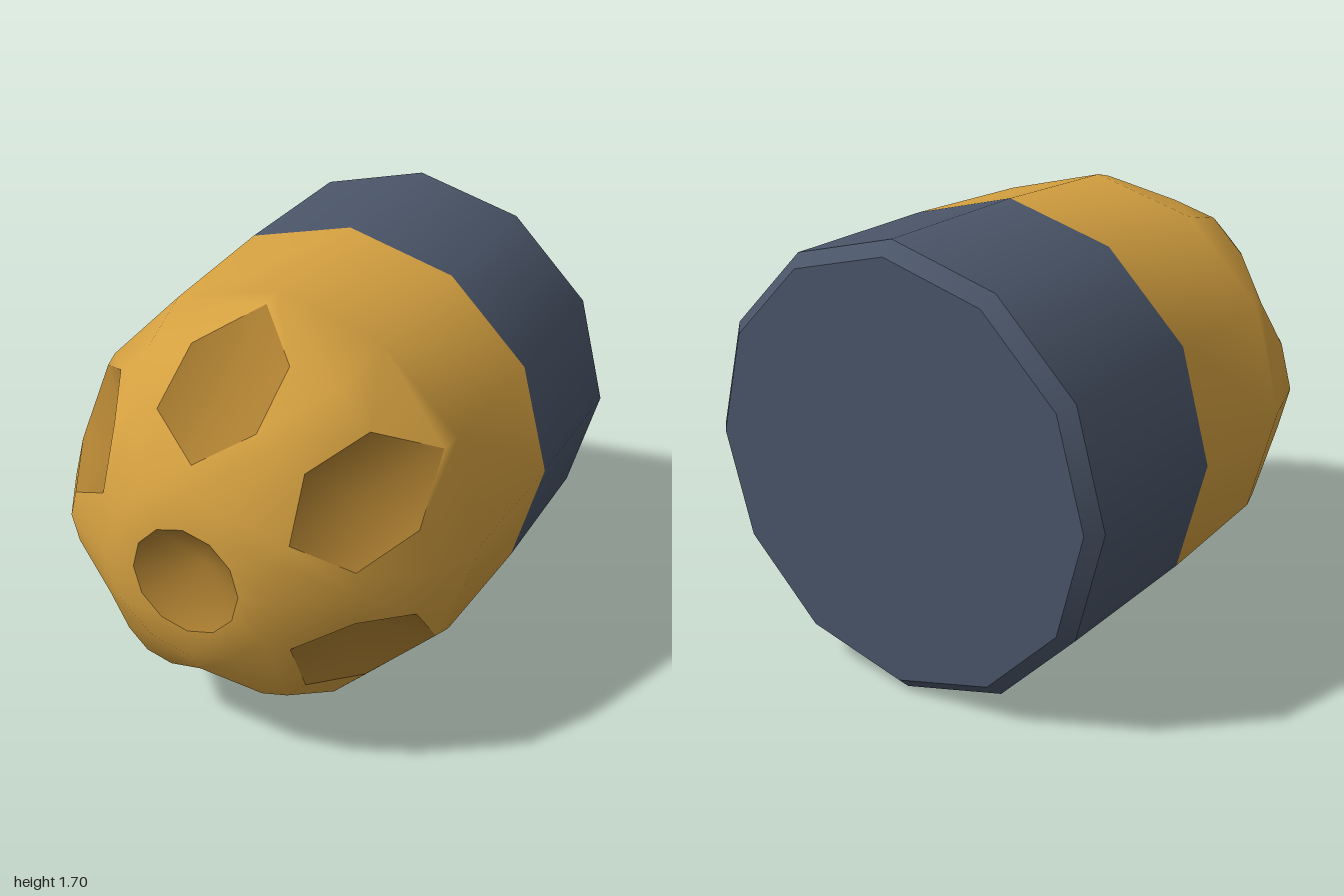
import * as THREE from 'three';
import { mergeVertices } from 'three/addons/utils/BufferGeometryUtils.js';

const SIDES = 12, R = 0.85;

// Point in a frame turned to an angle: radial distance, sideways offset, z
const place = (angle, [r, t, z]) => [
  r * Math.cos(angle) - t * Math.sin(angle),
  r * Math.sin(angle) + t * Math.cos(angle),
  z,
];

// Ring corner one step (30 degrees) to the side
const STEP = (Math.PI * 2) / SIDES;
const side = (r, z) => [r * Math.cos(STEP), r * Math.sin(STEP), z];

// Smooth geometry from a list of convex polygons
function fromPolygons(polygons) {
  const positions = [];
  for (const p of polygons) {
    for (let i = 1; i < p.length - 1; i++) positions.push(...p[0], ...p[i], ...p[i + 1]);
  }
  const geometry = new THREE.BufferGeometry();
  geometry.setAttribute('position', new THREE.Float32BufferAttribute(positions, 3));
  const merged = mergeVertices(geometry, 1e-4);
  merged.computeVertexNormals();
  return merged;
}

export function createModel() {
  const gold = new THREE.MeshStandardMaterial({ color: 0xd4a040 });
  gold.name = 'gold';
  const darkGold = new THREE.MeshStandardMaterial({ color: 0xaa7d30 });
  darkGold.name = 'dark gold';
  const slate = new THREE.MeshStandardMaterial({ color: 0x4a5568 });
  slate.name = 'slate';

  const model = new THREE.Group();
  model.name = 'drillButton';
  const add = (name, geometry, material) => {
    const mesh = new THREE.Mesh(geometry, material);
    mesh.name = name;
    mesh.position.y = R;
    model.add(mesh);
  };

  // Corners of one hexagonal opening, lying on the nose surface
  const T = [0.804, 0, 0.385], U = [0.693, 0.195, 0.58];
  const V = [0.548, 0.195, 0.82], W = [0.43, 0, 0.925];
  const flip = ([r, t, z]) => [r, -t, z];

  // Half a sector of the nose; mirrored and repeated six times
  const half = [
    [[R, 0, -0.28], side(R, -0.28), side(0.825, 0.31), [0.825, 0, 0.31]],
    [side(0.825, 0.31), side(0.745, 0.58), U, T, [0.825, 0, 0.31]],
    [U, side(0.745, 0.58), side(0.6, 0.82), V],
    [side(0.34, 0.98), [0.34, 0, 0.98], W, V, side(0.6, 0.82)],
    [[0.34, 0, 0.98], side(0.34, 0.98), side(0.212, 1), [0.212, 0, 1]],
  ];
  const nose = [];
  const rim = [T, U, V, W, flip(V), flip(U)];
  const apex = [0.53, 0, 0.625];
  for (let k = 0; k < 6; k++) {
    const angle = Math.PI / 2 + (k * Math.PI) / 3;
    const turn = (p) => place(angle, p);
    for (const polygon of half) {
      nose.push(polygon.map(turn));
      nose.push(polygon.map(flip).reverse().map(turn));
    }
    // Hexagonal pit
    const pit = rim.map((p, i) => [p, rim[(i + 1) % 6], apex].map(turn));
    add('hexPit' + (k + 1), fromPolygons(pit), darkGold);
  }
  add('nose', fromPolygons(nose), gold);

  // Round pit in the tip
  const tip = [];
  for (let i = 0; i < SIDES; i++) {
    tip.push([place(i * STEP, [0.212, 0, 1]), place((i + 1) * STEP, [0.212, 0, 1]), [0, 0, 0.86]]);
  }
  add('tipPit', fromPolygons(tip), darkGold);

  // Rear sleeve, its bevel and the flat back
  const ring = (front, back, z0, z1) =>
    new THREE.CylinderGeometry(front, back, z0 - z1, SIDES, 1, true)
      .rotateX(Math.PI / 2)
      .translate(0, 0, (z0 + z1) / 2);
  add('sleeve', ring(R, R, -0.28, -0.95), slate);
  add('backBevel', ring(R, 0.8, -0.95, -1), slate);
  add('backCap', new THREE.CircleGeometry(0.8, SIDES).rotateY(Math.PI).translate(0, 0, -1), slate);

  return model;
}
